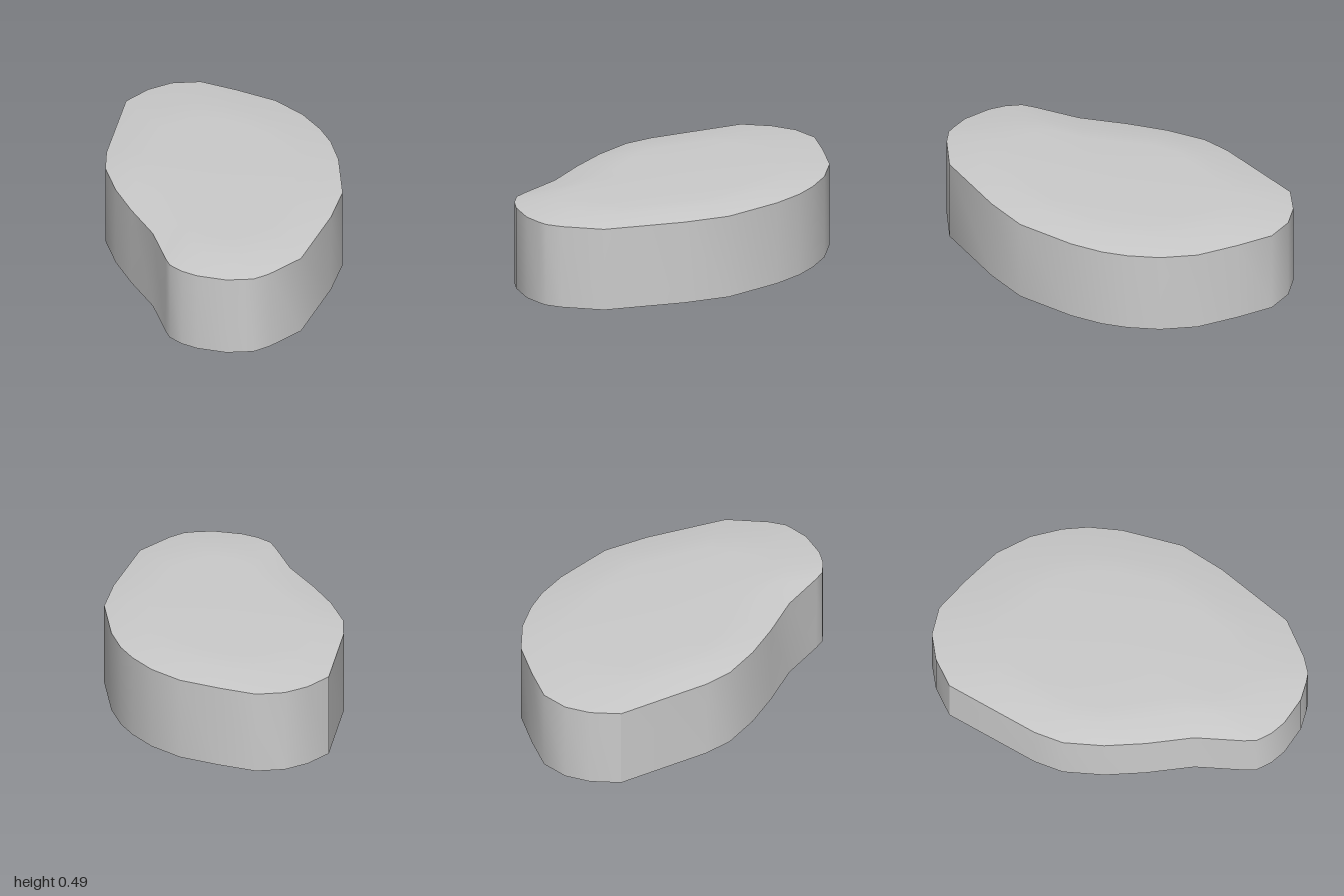
import * as THREE from 'three';
import { toCreasedNormals } from 'three/addons/utils/BufferGeometryUtils.js';

// Outline from the back round by the left: rim x, z, then plateau x, z
const OUTLINE = [
  [0.02, -1, -0.02, -0.74], [0.17, -0.96, 0.08, -0.73], [0.32, -0.82, 0.2, -0.66],
  [0.48, -0.65, 0.33, -0.52], [0.57, -0.47, 0.41, -0.38], [0.61, -0.3, 0.44, -0.25],
  [0.62, -0.16, 0.45, -0.15], [0.6, 0.02, 0.44, 0], [0.51, 0.34, 0.36, 0.3],
  [0.37, 0.55, 0.24, 0.47], [0.08, 0.89, 0.04, 0.71], [-0.13, 0.98, -0.13, 0.78],
  [-0.22, 1, -0.21, 0.79], [-0.27, 0.99, -0.25, 0.79], [-0.37, 0.96, -0.32, 0.76],
  [-0.5, 0.87, -0.4, 0.69], [-0.56, 0.8, -0.43, 0.63], [-0.6, 0.72, -0.45, 0.57],
  [-0.6, 0.65, -0.45, 0.5], [-0.58, 0.39, -0.44, 0.35], [-0.61, 0.13, -0.47, 0.1],
  [-0.62, -0.09, -0.5, -0.1], [-0.6, -0.31, -0.47, -0.28], [-0.54, -0.46, -0.42, -0.38],
  [-0.27, -0.91, -0.23, -0.67], [-0.12, -0.98, -0.14, -0.71],
];
const CX = -0.05;

// Joins neighbouring rings, skipping triangles that collapse at a centre point
function loft(rings) {
  const positions = [];
  const n = rings[0].length;
  const addTriangle = (a, b, c) => {
    if (new THREE.Triangle(a, b, c).getArea() < 1e-8) return;
    for (const p of [a, b, c]) positions.push(p.x, p.y, p.z);
  };
  for (let r = 0; r < rings.length - 1; r++) {
    for (let i = 0; i < n; i++) {
      const j = (i + 1) % n;
      addTriangle(rings[r][i], rings[r + 1][i], rings[r + 1][j]);
      addTriangle(rings[r][i], rings[r + 1][j], rings[r][j]);
    }
  }
  const geometry = new THREE.BufferGeometry();
  geometry.setAttribute('position', new THREE.Float32BufferAttribute(positions, 3));
  return toCreasedNormals(geometry, 0.5);
}

export function createModel() {
  const group = new THREE.Group();
  group.name = 'steppingStone';

  const rim = (y) => OUTLINE.map(([x, z]) => new THREE.Vector3(x, y, z));
  const plateau = (y, s) => OUTLINE.map(([, , x, z]) => new THREE.Vector3(CX + (x - CX) * s, y, z * s));

  // Flat base, upright wall, sloping shoulder and slightly domed top
  const stone = new THREE.Mesh(
    loft([plateau(0, 0), rim(0), rim(0.455), plateau(0.48, 1), plateau(0.485, 0.8), plateau(0.485, 0)]),
    new THREE.MeshStandardMaterial({ color: 0xcccccc })
  );
  stone.name = 'stone';
  group.add(stone);
  return group;
}
